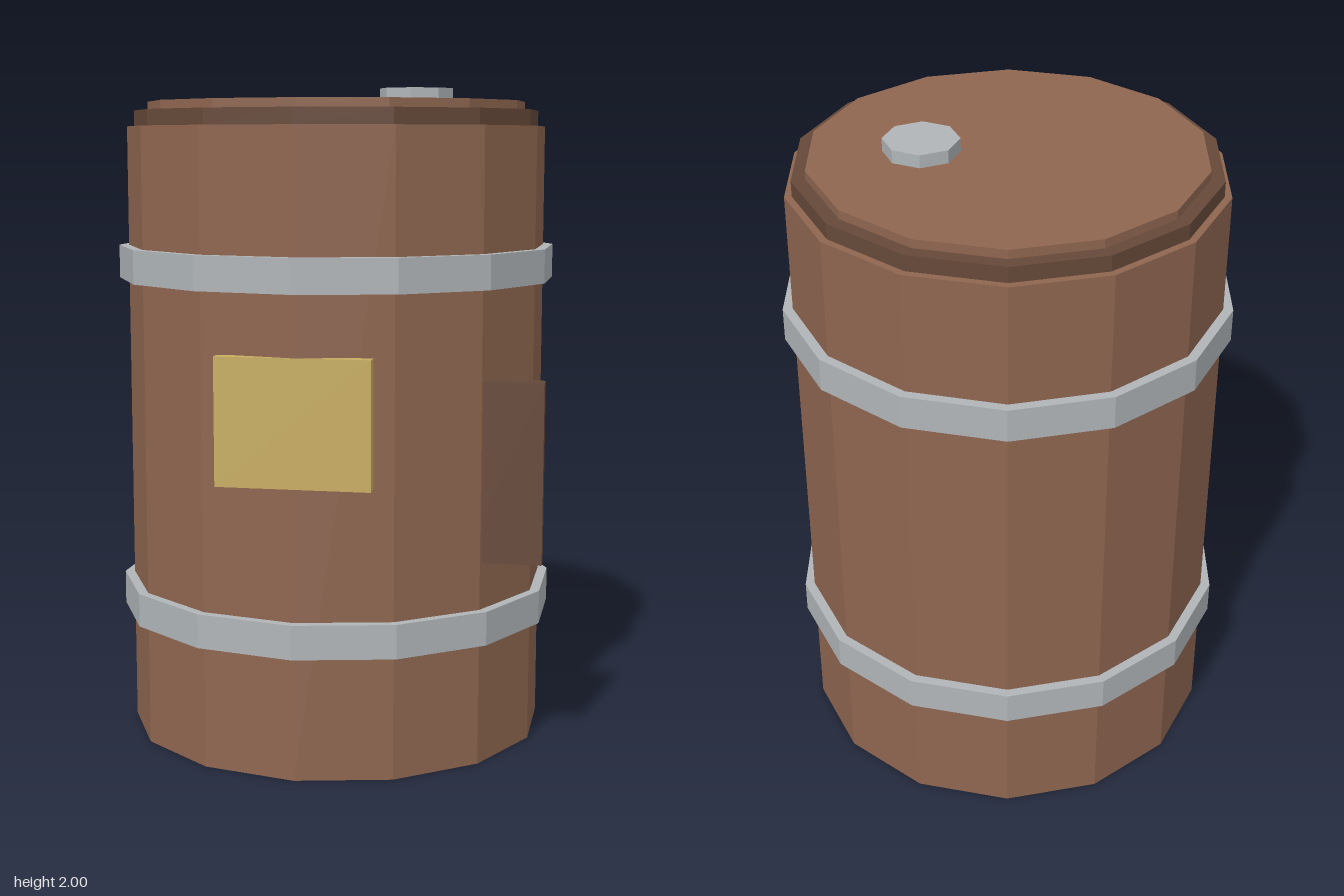
import * as THREE from 'three';

const SIDES = 14;
const AXIS_X = -0.014; // barrel axis, shifted so the side handle keeps the model centred

function flat(name, color) {
  const material = new THREE.MeshStandardMaterial({ color, flatShading: true });
  material.name = name;
  return material;
}

export function createModel() {
  const model = new THREE.Group();
  model.name = 'barrel';

  const wood = flat('wood brown', 0x8f6650);
  const darkWood = flat('dark wood', 0x664939);
  const steel = flat('steel grey', 0xb0b5b8);
  const brass = flat('brass yellow', 0xc8ad62);

  function add(name, geometry, material, x, y, z) {
    const mesh = new THREE.Mesh(geometry, material);
    mesh.name = name;
    mesh.position.set(x, y, z);
    model.add(mesh);
  }

  // Upright prism between two heights
  function drum(name, radius, bottom, top, material, x = AXIS_X, sides = SIDES) {
    const geometry = new THREE.CylinderGeometry(radius, radius, top - bottom, sides);
    add(name, geometry, material, x, (bottom + top) / 2, 0);
  }

  // Body and stepped lid
  drum('body', 0.65, 0, 1.885, wood);
  drum('lidRim', 0.628, 1.885, 1.933, darkWood);
  drum('lidPanel', 0.586, 1.933, 1.96, wood);

  // Metal hoops
  drum('lowerHoop', 0.68, 0.371, 0.473, steel);
  drum('upperHoop', 0.68, 1.418, 1.52, steel);

  // Octagonal bung on the lid
  drum('bung', 0.113, 1.96, 2, steel, 0.235, 8);

  // Front plaque and side handle
  add('plaque', new THREE.BoxGeometry(0.454, 0.375, 0.042), brass, -0.015, 1.05, 0.631);
  add('handle', new THREE.BoxGeometry(0.223, 0.54, 0.04), darkWood, 0.5625, 0.883, 0.378);

  return model;
}
